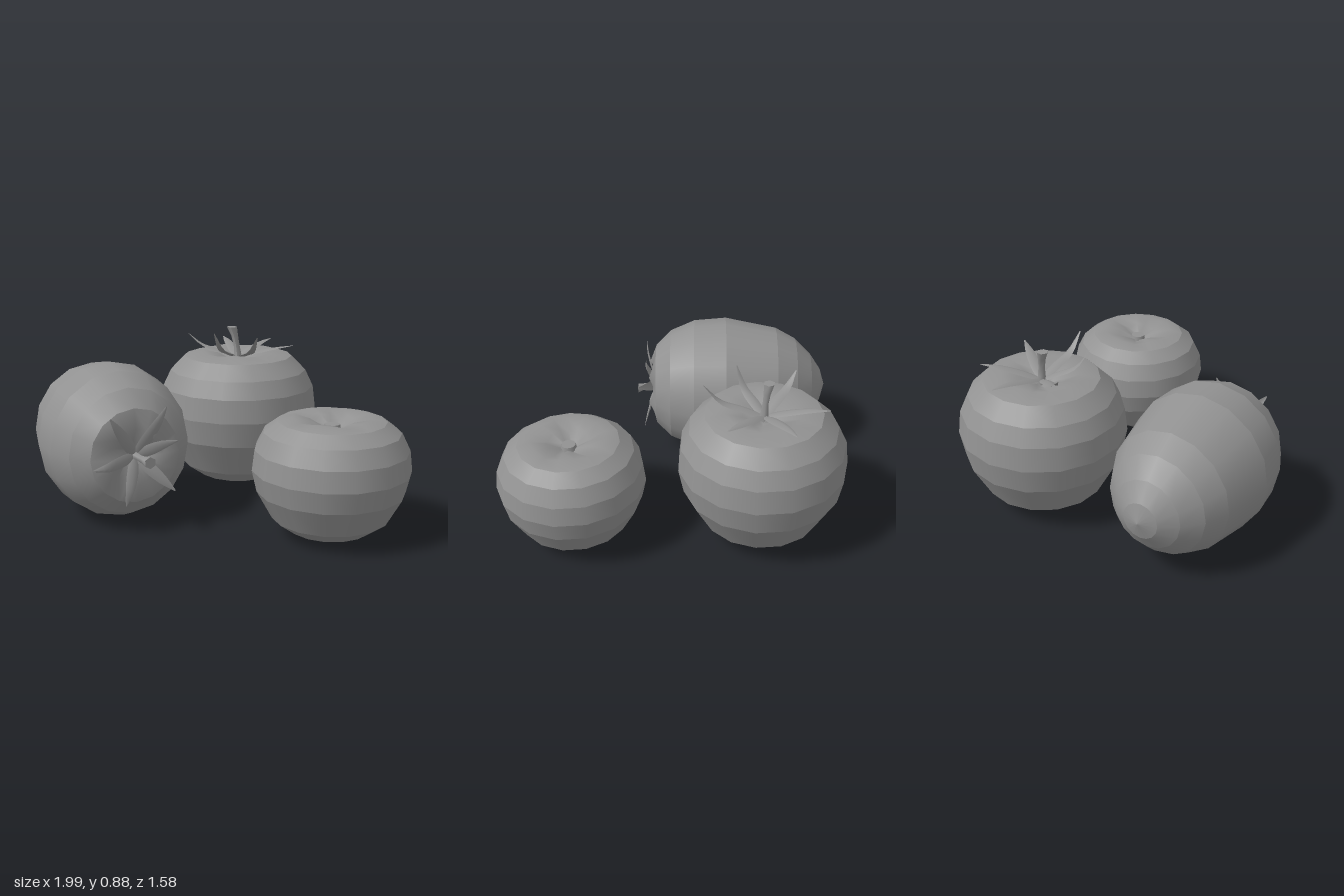
import * as THREE from 'three';
import { mergeGeometries, mergeVertices } from 'three/addons/utils/BufferGeometryUtils.js';

const skin = new THREE.MeshStandardMaterial({ color: 0x929292 });
const leaf = new THREE.MeshStandardMaterial({ color: 0x929292, side: THREE.DoubleSide });

function lathe(points, sides) {
  const geo = new THREE.LatheGeometry(points.map(([r, y]) => new THREE.Vector2(r, y)), sides);
  geo.deleteAttribute('uv');
  return geo;
}

// Fruit body: separate bands, crisp between rings and smooth around,
// closed by a smooth dimple whose rim is rippled into soft lobes
function fruitBody(name, bands, dimple, sides, lobePhase) {
  const parts = [];
  for (let i = 0; i + 1 < bands.length; i++) parts.push(lathe([bands[i], bands[i + 1]], sides));

  let top = lathe([bands[bands.length - 1], ...dimple], sides);
  const p = top.attributes.position;
  for (let i = 0; i < p.count; i++) {
    const x = p.getX(i), z = p.getZ(i);
    const weight = Math.max(0, Math.sin(Math.PI * Math.hypot(x, z) / 0.22));
    p.setY(i, p.getY(i) + 0.016 * weight * (Math.cos(5 * Math.atan2(x, z) + lobePhase) - 0.5));
  }
  top.deleteAttribute('normal');
  top = mergeVertices(top);
  top.computeVertexNormals();

  const mesh = new THREE.Mesh(mergeGeometries([...parts, top]), skin);
  mesh.name = name;
  return mesh;
}

// Short stem, wider at its foot and cut end, bending sideways
function stem(height, bendX, bendZ) {
  const geo = new THREE.CylinderGeometry(1, 1, height, 6, 4);
  geo.translate(0, height / 2, 0);
  const p = geo.attributes.position;
  for (let i = 0; i < p.count; i++) {
    const t = p.getY(i) / height;
    const r = 0.017 + 0.05 * (t - 0.5) ** 2;
    p.setX(i, p.getX(i) * r + bendX * t * t);
    p.setZ(i, p.getZ(i) * r + bendZ * t * t);
  }
  geo.computeVertexNormals();
  const mesh = new THREE.Mesh(geo, skin);
  mesh.name = 'stem';
  return mesh;
}

// Lance-shaped leaf with a raised midrib, lying over the rim and curling up to its tip
function sepal([x, y, z], rimY) {
  const curve = new THREE.CatmullRomCurve3([
    new THREE.Vector3(0, rimY - 0.045, 0),
    new THREE.Vector3(x * 0.35, rimY - 0.012, z * 0.35),
    new THREE.Vector3(x * 0.72, rimY + 0.012 + (y - rimY) * 0.12, z * 0.72),
    new THREE.Vector3(x, y, z),
  ]);
  const side = new THREE.Vector3(-z, 0, x).normalize();
  const pos = [], idx = [], steps = 8;
  for (let i = 0; i <= steps; i++) {
    const t = i / steps, c = curve.getPoint(t);
    const w = 0.003 + 0.01 * (1 - t) + 0.02 * Math.sin(Math.PI * Math.pow(t, 0.75));
    for (const s of [-1, 0, 1]) {
      pos.push(c.x + side.x * w * s, c.y + (s === 0 ? w * 0.4 : 0), c.z + side.z * w * s);
    }
    if (i < steps) {
      for (const k of [0, 1]) {
        const a = i * 3 + k;
        idx.push(a, a + 1, a + 3, a + 1, a + 4, a + 3);
      }
    }
  }
  const geo = new THREE.BufferGeometry();
  geo.setAttribute('position', new THREE.Float32BufferAttribute(pos, 3));
  geo.setIndex(idx);
  geo.computeVertexNormals();
  const mesh = new THREE.Mesh(geo, leaf);
  mesh.name = 'sepal';
  return mesh;
}

function calyx(tips, rimY) {
  const group = new THREE.Group();
  group.name = 'calyx';
  tips.forEach((tip) => group.add(sepal(tip, rimY)));
  return group;
}

export function createModel() {
  const model = new THREE.Group();
  model.name = 'threeTomatoes';

  // Large round tomato at the back
  const large = new THREE.Group();
  large.name = 'largeTomato';
  large.position.set(0.005, 0, -0.36);
  large.add(fruitBody('largeTomatoBody', [
    [0, 0.015], [0.11, 0.017], [0.215, 0.05], [0.315, 0.12], [0.412, 0.3],
    [0.438, 0.435], [0.423, 0.56], [0.38, 0.65], [0.3, 0.728],
  ], [[0.2, 0.753], [0.11, 0.735], [0.04, 0.7], [0, 0.695]], 15, 0));
  const largeStem = stem(0.195, -0.035, 0);
  largeStem.position.y = 0.69;
  large.add(largeStem, calyx([
    [-0.285, 0.84, 0], [-0.145, 0.78, -0.29], [0.14, 0.78, -0.28],
    [0.31, 0.79, 0], [0.155, 0.87, 0.26], [-0.085, 0.88, 0.23],
  ], 0.755));
  model.add(large);

  // Small tomato at the front, with a bare stem scar
  const small = new THREE.Group();
  small.name = 'smallTomato';
  small.position.set(0.615, 0, 0.41);
  small.add(fruitBody('smallTomatoBody', [
    [0, 0.015], [0.11, 0.017], [0.2, 0.04], [0.285, 0.1], [0.36, 0.235],
    [0.384, 0.34], [0.372, 0.44], [0.33, 0.525], [0.26, 0.577],
  ], [[0.19, 0.597], [0.11, 0.58], [0.04, 0.545], [0, 0.54]], 15, 1));
  const scar = new THREE.Mesh(new THREE.CylinderGeometry(0.037, 0.042, 0.025, 12), skin);
  scar.name = 'stemScar';
  scar.position.y = 0.548;
  small.add(scar);
  model.add(small);

  // Long tomato lying on its side, stem end toward the front
  const long = new THREE.Group();
  long.name = 'longTomato';
  const body = fruitBody('longTomatoBody', [
    [0, -0.69], [0.09, -0.662], [0.175, -0.602], [0.258, -0.515], [0.318, -0.4],
    [0.374, -0.11], [0.36, 0.07], [0.305, 0.205], [0.225, 0.29],
  ], [[0.13, 0.325], [0.05, 0.27], [0, 0.255]], 16, 0.5);
  body.scale.z = 1.045;
  const longStem = stem(0.15, 0.035, 0.01);
  longStem.position.y = 0.25;
  long.add(body, longStem, calyx([
    [0.18, 0.39, -0.08], [0.145, 0.34, -0.24], [0.175, 0.36, 0.18],
    [-0.07, 0.34, 0.23], [-0.22, 0.32, 0.04], [-0.14, 0.35, -0.21],
  ], 0.325));
  long.quaternion.setFromRotationMatrix(new THREE.Matrix4().makeBasis(
    new THREE.Vector3(0.8, 0, -0.6), new THREE.Vector3(0.6, 0, 0.8), new THREE.Vector3(0, -1, 0)));
  long.position.set(-0.48, 0.397, 0.36);
  model.add(long);

  return model;
}
